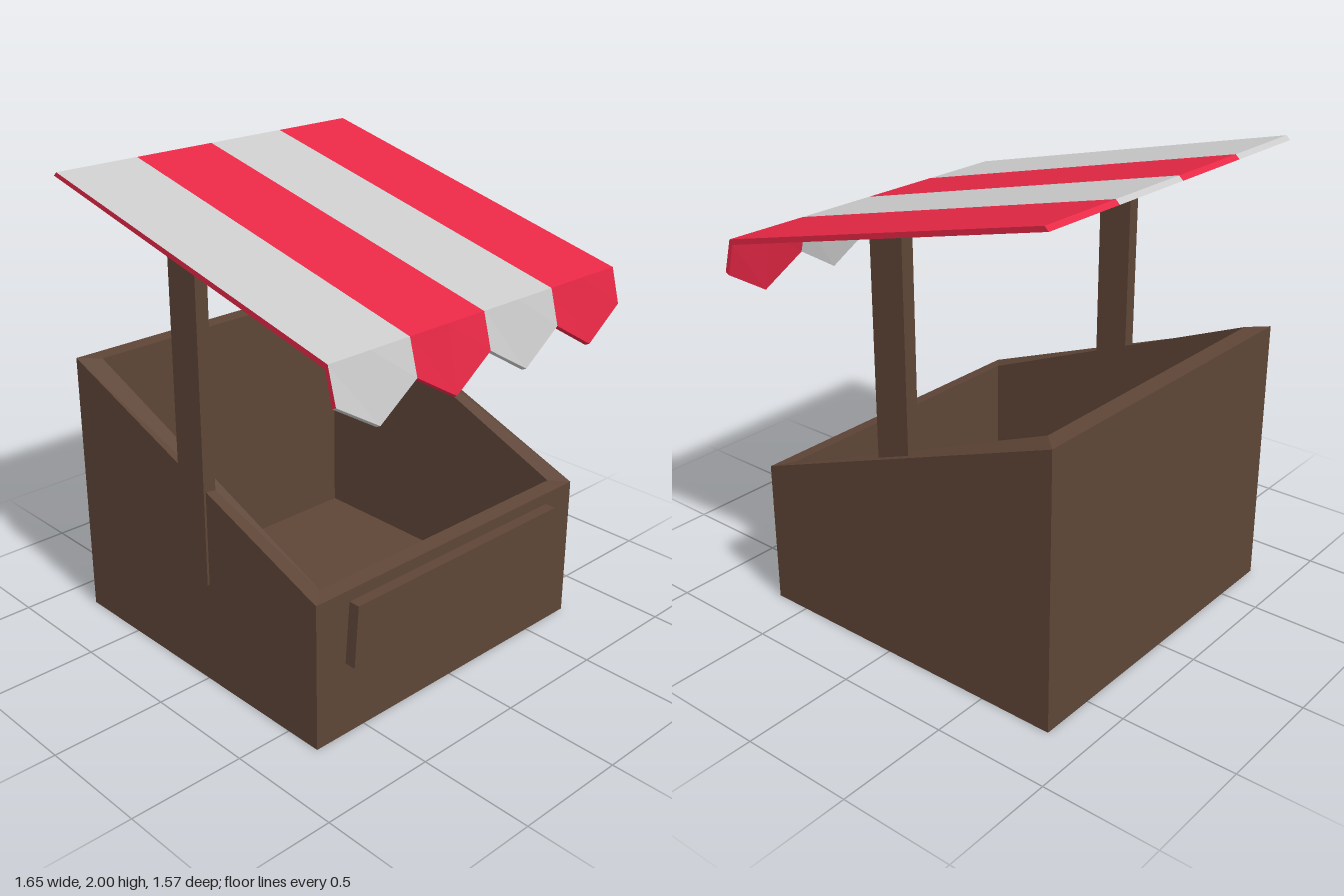
import * as THREE from 'three';

const WOOD = new THREE.MeshStandardMaterial({ color: 0x5e4537, flatShading: true });
const RED = new THREE.MeshStandardMaterial({ color: 0xe62745, flatShading: true });
const GREY = new THREE.MeshStandardMaterial({ color: 0xcccccc, flatShading: true });

// Joins closed rings of points with flat quads; rings run counter-clockwise about the sweep direction.
function loft(rings, capStart, capEnd) {
  const pos = [];
  const tri = (a, b, c) => pos.push(...a, ...b, ...c);
  const n = rings[0].length;
  for (let i = 0; i < rings.length - 1; i++) {
    for (let j = 0; j < n; j++) {
      const k = (j + 1) % n;
      tri(rings[i][j], rings[i][k], rings[i + 1][k]);
      tri(rings[i][j], rings[i + 1][k], rings[i + 1][j]);
    }
  }
  const first = rings[0], last = rings[rings.length - 1];
  for (let j = 1; j < n - 1; j++) {
    if (capStart) tri(first[0], first[j + 1], first[j]);
    if (capEnd) tri(last[0], last[j], last[j + 1]);
  }
  const g = new THREE.BufferGeometry();
  g.setAttribute('position', new THREE.Float32BufferAttribute(pos, 3));
  g.computeVertexNormals();
  return g;
}

function extrude(points, depth) {
  const shape = new THREE.Shape(points.map(([x, y]) => new THREE.Vector2(x, y)));
  return new THREE.ExtrudeGeometry(shape, { depth, bevelEnabled: false });
}

// Rectangle ring with its own height at the low-x and high-x ends
const rect = (x0, x1, z, y0, y1) => [[x0, y0, z], [x1, y1, z], [x1, y1, -z], [x0, y0, -z]];

// Canopy cross-section at z; tip is true where the valance hangs lowest
function canopyRing(z, tip) {
  const dx = tip ? 0.015 : 0, dy = tip ? -0.12 : 0;
  return [
    [0.755, 1.61], [0.79 + dx, 1.475 + dy], [0.81 + dx, 1.485 + dy],
    [0.77, 1.63], [-0.812, 2], [-0.83, 1.983],
  ].map(([x, y]) => [x, y, z]);
}

export function createModel() {
  const model = new THREE.Group();
  const add = (name, geometry, material, parent = model) => {
    const mesh = new THREE.Mesh(geometry, material);
    mesh.name = name;
    parent.add(mesh);
    return mesh;
  };

  // Hollow crate with a sloping rim
  add('crate', loft([
    rect(-0.83, 0.665, 0.75, 0, 0),
    rect(-0.83, 0.665, 0.75, 1.195, 0.64),
    rect(-0.75, 0.6, 0.672, 1.195, 0.65),
    rect(-0.75, 0.6, 0.672, 0.065, 0.065),
  ], true, true), WOOD);

  // Posts with tops cut to the canopy slope
  const postSide = [[-0.13, 0.46], [0.03, 0.46], [0.03, 1.785], [-0.13, 1.823]];
  for (const [name, z] of [['frontPost', 0.702], ['backPost', -0.737]]) {
    add(name, extrude(postSide, 0.058), WOOD).position.z = z;
  }

  // Sign board on the low end
  const sign = add('signBoard',
    extrude([[-0.6, 0.325], [0.61, 0.325], [0.585, 0.59], [-0.58, 0.59]], 0.055), WOOD);
  sign.rotation.y = Math.PI / 2;
  sign.position.x = 0.66;

  // Striped canopy with a pointed valance
  const canopy = new THREE.Group();
  canopy.name = 'canopy';
  model.add(canopy);
  const half = 0.785, width = half / 2;
  for (let i = 0; i < 4; i++) {
    const z = -half + i * width;
    const rings = [canopyRing(z, false), canopyRing(z + width / 2, true), canopyRing(z + width, false)];
    add('canopyStripe' + (i + 1), loft(rings, i === 0, false), i % 2 ? GREY : RED, canopy);
  }
  // Red edge closing the front side
  add('canopyEdge', loft([canopyRing(half, false)], false, true), RED, canopy);

  return model;
}
